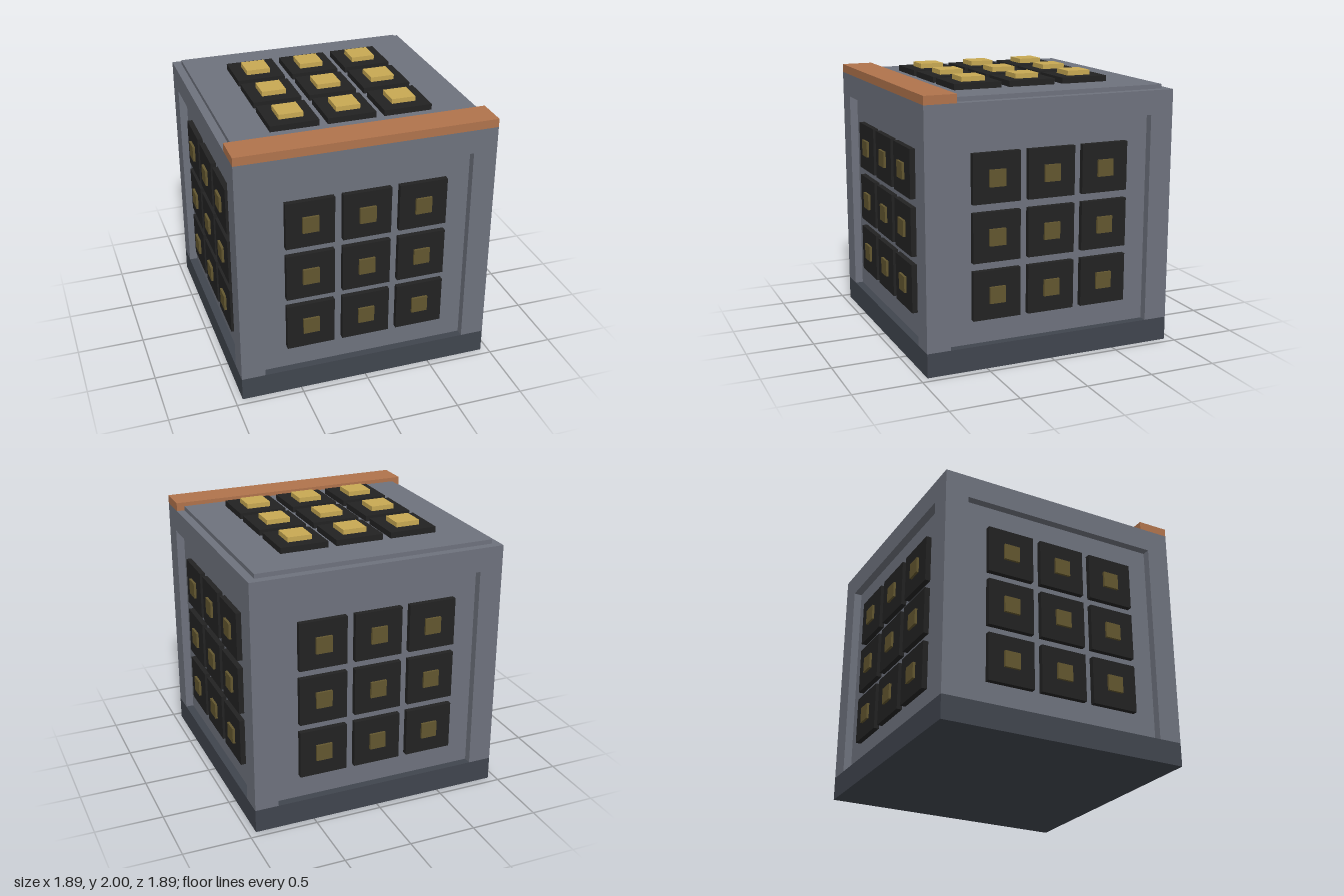
import * as THREE from 'three';

const mat = (name, color) => {
  const m = new THREE.MeshStandardMaterial({ color });
  m.name = name;
  return m;
};

export function createModel() {
  const steel = mat('steel grey', 0x6e727d);
  const slate = mat('dark slate', 0x40454e);
  const black = mat('black', 0x222222);
  const gold = mat('gold', 0xc8a953);
  const bronze = mat('dim gold', 0x62562f);
  const copper = mat('copper', 0xb0734c);

  const model = new THREE.Group();
  model.name = 'panelCube';
  const box = (parent, name, material, size, pos) => {
    const mesh = new THREE.Mesh(new THREE.BoxGeometry(...size), material);
    mesh.name = name;
    mesh.position.set(...pos);
    parent.add(mesh);
    return mesh;
  };

  const H = 0.945;      // half width of the cube
  const inner = 0.77;   // half width of the recessed panels
  const depth = 0.06;   // recess depth
  const baseTop = 0.175, top = 1.89, lintel = 1.715;
  const pitch = 0.415, tile = 0.355;

  // Base and recessed core
  box(model, 'base', slate, [2 * H, baseTop, 2 * H], [0, baseTop / 2, 0]);
  const core = 2 * (H - depth);
  box(model, 'core', steel, [core, lintel - baseTop, core], [0, (lintel + baseTop) / 2, 0]);
  box(model, 'upperFrame', steel, [2 * H, top - lintel, 2 * H], [0, (top + lintel) / 2, 0]);

  // Corner posts framing the recesses
  const postW = H - inner, postC = (H + inner) / 2;
  for (const x of [-1, 1]) for (const z of [-1, 1])
    box(model, 'cornerPost', steel, [postW, lintel - baseTop, postW],
      [x * postC, (lintel + baseTop) / 2, z * postC]);

  // 3 x 3 grid of raised tiles with studs, facing +z from the group's plane
  const tileGrid = (name, tileH, studSize, studH, studMat) => {
    const grid = new THREE.Group();
    grid.name = name;
    for (let i = -1; i <= 1; i++) for (let j = -1; j <= 1; j++) {
      box(grid, 'tile', black, [tile, tile, tileH], [i * pitch, j * pitch, tileH / 2]);
      box(grid, 'stud', studMat, [studSize, studSize, studH],
        [i * pitch, j * pitch, tileH + studH / 2]);
    }
    model.add(grid);
    return grid;
  };

  // Side grids, one per recess
  ['front', 'left', 'back', 'right'].forEach((side, k) => {
    const a = k * Math.PI / 2, r = H - depth;
    const grid = tileGrid(side + 'Tiles', 0.04, 0.12, 0.018, bronze);
    grid.position.set(Math.sin(a) * r, H, Math.cos(a) * r);
    grid.rotation.y = a;
  });

  // Lid plate, copper bar along the front edge and the top grid
  const barBack = 0.71, plateEdge = 0.885, plateTop = 1.922;
  box(model, 'lidPlate', steel, [2 * plateEdge, plateTop - top, barBack + plateEdge],
    [0, (plateTop + top) / 2, (barBack - plateEdge) / 2]);
  box(model, 'frontBar', copper, [2 * H, 0.062, H - barBack], [0, top + 0.031, (H + barBack) / 2]);
  const topGrid = tileGrid('topTiles', 0.043, 0.178, 0.035, gold);
  topGrid.position.y = plateTop;
  topGrid.rotation.x = -Math.PI / 2;

  return model;
}
